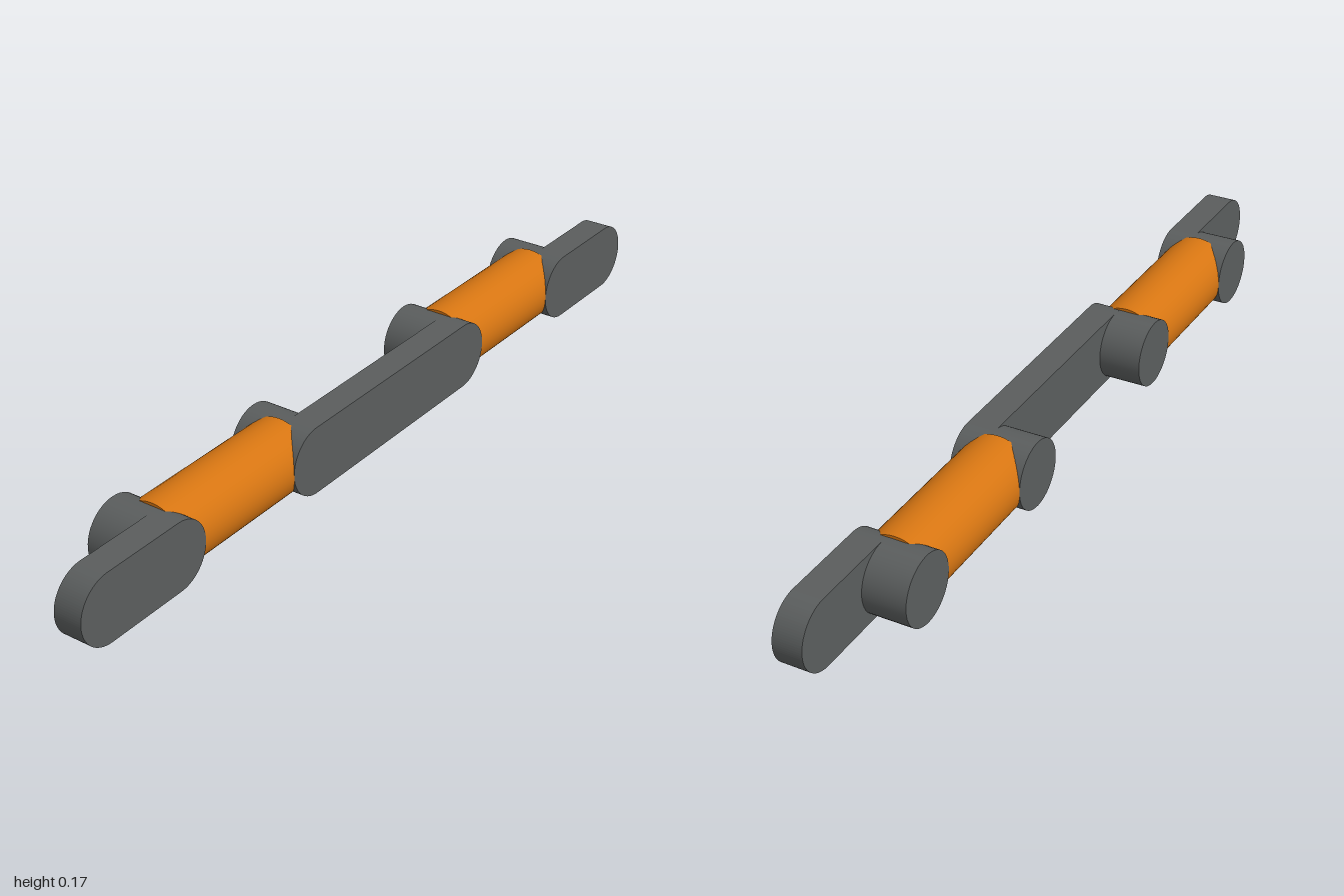
import * as THREE from 'three';

export function createModel() {
  const model = new THREE.Group();
  const grey = new THREE.MeshStandardMaterial({ color: 0x5a5d5d });
  const orange = new THREE.MeshStandardMaterial({ color: 0xd67512 });

  const midY = 0.083;                    // height of every axis
  const linkRadius = 0.079, rollerRadius = 0.083;
  const back = -0.083, step = 0.016, front = 0.083;
  const innerX = 0.279, outerX = 0.921, jointX = 0.721;

  function add(name, geometry, material, x, z) {
    const mesh = new THREE.Mesh(geometry, material);
    mesh.name = name;
    mesh.position.set(x, midY, z);
    model.add(mesh);
  }

  // Flat link with rounded ends, between two end centres
  function addLink(name, x0, x1) {
    const r = linkRadius;
    const shape = new THREE.Shape();
    shape.moveTo(x0, -r);
    shape.lineTo(x1, -r);
    shape.absarc(x1, 0, r, -Math.PI / 2, Math.PI / 2, false);
    shape.lineTo(x0, r);
    shape.absarc(x0, 0, r, Math.PI / 2, Math.PI * 1.5, false);
    const geometry = new THREE.ExtrudeGeometry(shape, {
      depth: front - step, bevelEnabled: false, curveSegments: 24,
    });
    add(name, geometry, grey, 0, step);
  }

  addLink('middleLink', -innerX, innerX);
  addLink('leftEndLink', jointX, outerX);
  addLink('rightEndLink', -outerX, -jointX);

  for (const side of [1, -1]) {
    const label = side > 0 ? 'left' : 'right';

    // Round bosses reaching back from the links
    for (const [part, x] of [['InnerBoss', innerX], ['OuterBoss', jointX]]) {
      const boss = new THREE.CylinderGeometry(linkRadius, linkRadius, step - back, 48);
      boss.rotateX(Math.PI / 2);
      add(label + part, boss, grey, side * x, (back + step) / 2);
    }

    // Coloured bar joining the two bosses
    const bar = new THREE.CylinderGeometry(rollerRadius, rollerRadius, 0.4, 48);
    bar.rotateZ(Math.PI / 2);
    add(label + 'Bar', bar, orange, side * 0.5, 0);
  }
  return model;
}
